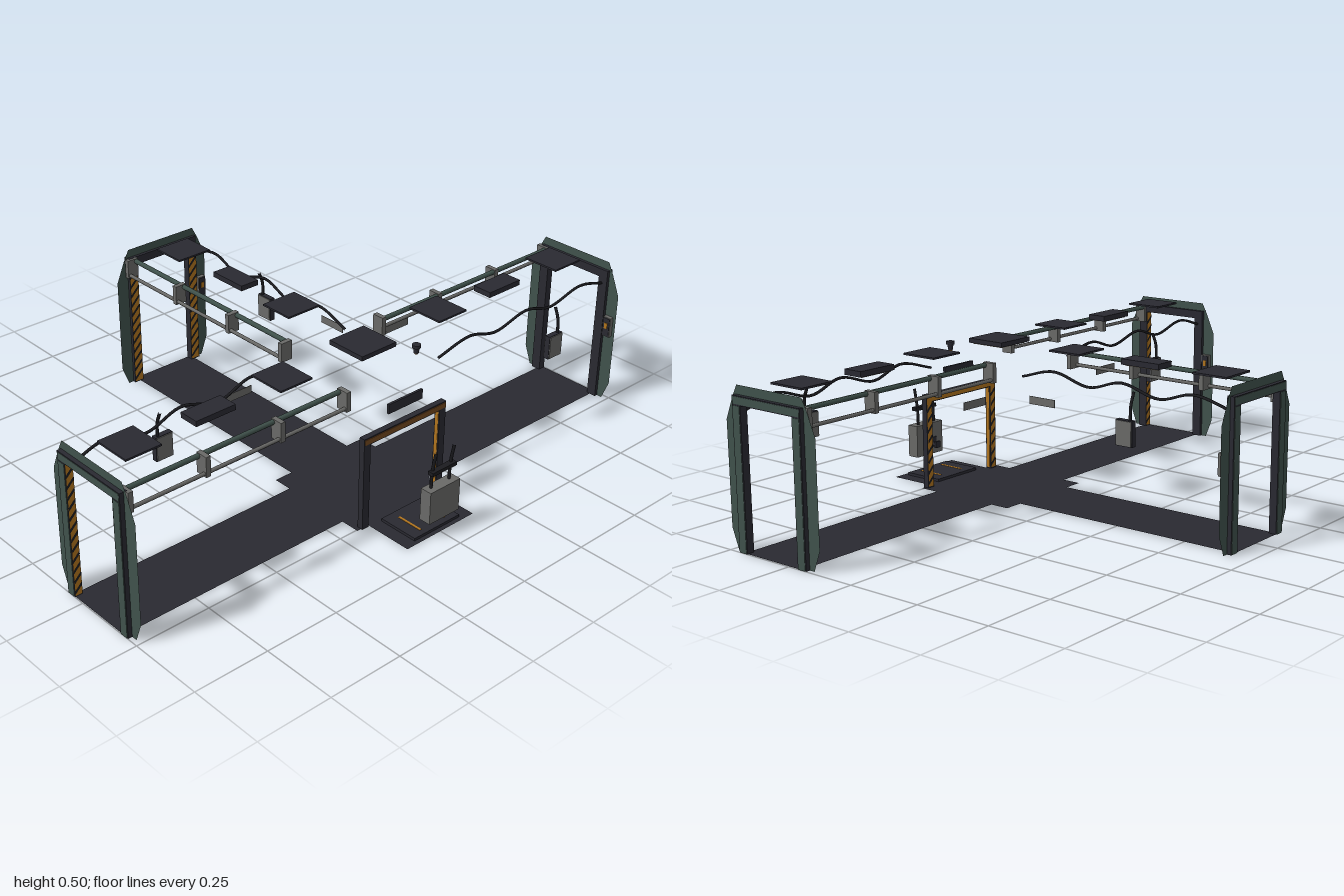
import * as THREE from 'three';

const mat = (name, color, side = THREE.FrontSide) => {
  const m = new THREE.MeshStandardMaterial({ color, side });
  m.name = name;
  return m;
};

export function createModel() {
  const dark = mat('darkMetal', 0x292931);
  const under = mat('undersideBlack', 0x262626);
  const black = mat('blackTrim', 0x1c1c20);
  const green = mat('greenPaint', 0x40524c, THREE.DoubleSide);
  const grey = mat('greyMetal', 0x6a6a68);
  const orange = mat('hazardOrange', 0xb0741e);
  const brown = mat('wornBrown', 0x74491f);
  const beige = mat('lampBeige', 0xcfc0a2);

  const root = new THREE.Group();
  root.name = 'junctionCorridor';

  const add = (parent, name, geo, material, x = 0, y = 0, z = 0) => {
    const m = new THREE.Mesh(geo, material);
    m.name = name;
    m.position.set(x, y, z);
    parent.add(m);
    return m;
  };
  // box given by its min and max corners
  const box = (parent, name, material, x0, x1, y0, y1, z0, z1) =>
    add(parent, name, new THREE.BoxGeometry(x1 - x0, y1 - y0, z1 - z0), material,
      (x0 + x1) / 2, (y0 + y1) / 2, (z0 + z1) / 2);
  const tube = (parent, name, material, pts, r, seg = 40) =>
    add(parent, name, new THREE.TubeGeometry(
      new THREE.CatmullRomCurve3(pts.map(p => new THREE.Vector3(...p))), seg, r, 6), material);
  const poly = pts => new THREE.Shape(pts.map(p => new THREE.Vector2(...p)));

  // sheet floor: one face up, one face down
  function sheet(parent, name, x0, x1, z0, z1) {
    const geo = new THREE.PlaneGeometry(x1 - x0, z1 - z0);
    const x = (x0 + x1) / 2, z = (z0 + z1) / 2;
    add(parent, name, geo, dark, x, 0.001, z).rotation.x = -Math.PI / 2;
    add(parent, name + 'Underside', geo, under, x, 0, z).rotation.x = Math.PI / 2;
  }

  // vertical strip with fine diagonal warning stripes, facing +z
  function hazardStrip(width, height) {
    const g = new THREE.Group();
    g.name = 'hazardStrip';
    add(g, 'hazardBase', new THREE.PlaneGeometry(width, height), orange, 0, height / 2, 0);
    const w = width / 2;
    for (let y = 0.005; y + width + 0.012 < height; y += 0.035) {
      add(g, 'hazardStripe', new THREE.ShapeGeometry(
        poly([[-w, y], [w, y + width], [w, y + width + 0.012], [-w, y + 0.012]])), black, 0, 0, 0.0008);
    }
    return g;
  }

  // chamfered end portal, outer face toward local +x
  function portal(arm, hazard) {
    const g = new THREE.Group();
    g.name = 'endPortal';
    arm.add(g);
    const half = [[0.16, 0], [0.185, 0.065], [0.185, 0.39], [0.155, 0.46], [0.135, 0.498]];
    const s = poly([...half, ...half.map(([x, y]) => [-x, y]).reverse(),
      [-0.107, 0], [-0.107, 0.442], [0.107, 0.442], [0.107, 0]]);
    const plate = add(g, 'portalPlate', new THREE.ShapeGeometry(s), green, 0.985);
    plate.rotation.y = Math.PI / 2;
    for (const k of [-1, 1]) {
      add(g, 'portalPost', new THREE.BoxGeometry(0.025, 0.47, 0.034), dark, 0.9865, 0.235, k * 0.124);
      add(g, 'postCover', new THREE.BoxGeometry(0.002, 0.44, 0.028), green, 0.9995, 0.22, k * 0.124);
      if (hazard === 'face') {
        const strip = hazardStrip(0.032, 0.435);
        strip.position.set(0.973, 0.004, k * 0.124);
        strip.rotation.y = -Math.PI / 2;
        g.add(strip);
      } else if (hazard === 'jamb') {
        const strip = hazardStrip(0.024, 0.435);
        strip.position.set(0.9865, 0.004, k * 0.106);
        strip.rotation.y = k > 0 ? Math.PI : 0;
        g.add(strip);
      }
    }
    box(g, 'portalLintel', dark, 0.974, 0.999, 0.442, 0.47, -0.141, 0.141);
    box(g, 'lintelCover', green, 0.9985, 1, 0.445, 0.467, -0.138, 0.138);
    box(g, 'portalSwitch', grey, 0.97, 0.984, 0.24, 0.31, 0.145, 0.175);
    box(g, 'switchFace', dark, 0.968, 0.97, 0.243, 0.307, 0.147, 0.173);
    box(g, 'switchLamp', orange, 0.966, 0.968, 0.27, 0.29, 0.154, 0.166);
  }

  // one corridor arm along local +x
  function buildArm(name, angle, signZ, boxX, hazard) {
    const arm = new THREE.Group();
    arm.name = name;
    arm.position.z = 0.32;
    arm.rotation.y = angle;
    root.add(arm);
    sheet(arm, 'armFloor', 0.185, 0.998, -0.12, 0.12);
    portal(arm, hazard);

    // ceiling hatches and lamp
    for (const x of [0.32, 0.86])
      box(arm, 'ceilingHatch', dark, x - 0.06, x + 0.06, 0.497, 0.503, -0.064, 0.064);
    box(arm, 'ceilingLamp', dark, 0.52, 0.66, 0.485, 0.503, -0.034, 0.034);
    for (const z of [-0.021, 0, 0.021])
      box(arm, 'lampTube', beige, 0.53, 0.65, 0.482, 0.485, z - 0.007, z + 0.007);

    // wall pipes with brackets
    tube(arm, 'upperPipe', green, [[0.2, 0.46, -0.12], [0.98, 0.46, -0.12]], 0.008, 1);
    tube(arm, 'lowerPipe', grey, [[0.2, 0.415, -0.145], [0.98, 0.415, -0.145]], 0.006, 1);
    for (const x of [0.2, 0.45, 0.715, 0.972])
      box(arm, 'pipeBracket', grey, x - 0.008, x + 0.008, 0.405, 0.469, -0.153, -0.112);

    // slack cable on the opposite wall
    const pts = [];
    for (let i = 0; i <= 6; i++)
      pts.push([0.2 + i * 0.13, i % 2 ? 0.452 : 0.42, 0.12 + (i % 2 ? 0.005 : -0.001)]);
    tube(arm, 'slackCable', black, pts, 0.0045);

    // wall box on a conduit
    const b = boxX, c = boxX + 0.017;
    box(arm, 'wallBox', dark, b - 0.03, b + 0.03, 0.276, 0.356, 0.163, 0.181);
    box(arm, 'wallBoxCover', grey, b - 0.028, b + 0.028, 0.278, 0.354, 0.181, 0.184);
    box(arm, 'wallBoxBack', grey, b - 0.028, b + 0.028, 0.278, 0.354, 0.16, 0.163);
    tube(arm, 'boxConduit', black, [[c, 0.35, 0.172], [c, 0.4, 0.17], [c, 0.44, 0.155]], 0.005, 6);

    box(arm, 'wallSign', grey, 0.28, 0.38, 0.355, 0.38, signZ - 0.001, signZ + 0.001);
  }
  buildArm('leftArm', 0, -0.184, 0.682, 'none');
  buildArm('backArm', Math.PI / 2, 0.183, 0.64, 'face');
  buildArm('rightArm', Math.PI, 0.184, 0.625, 'jamb');

  // junction hub
  sheet(root, 'hubFloor', -0.185, 0.185, 0.135, 0.505);
  box(root, 'hubLamp', dark, -0.07, 0.07, 0.488, 0.503, 0.25, 0.39);
  box(root, 'hubLampDiffuser', beige, -0.06, 0.06, 0.484, 0.488, 0.26, 0.38);
  add(root, 'sensorMount', new THREE.CylinderGeometry(0.014, 0.014, 0.01, 12), dark, 0.115, 0.49, 0.43);
  add(root, 'sensorBody', new THREE.CylinderGeometry(0.01, 0.008, 0.018, 12), dark, 0.115, 0.476, 0.43);
  add(root, 'sensorLens', new THREE.CylinderGeometry(0.007, 0.005, 0.005, 12), orange, 0.115, 0.465, 0.43);

  // front doorway
  const door = new THREE.Group();
  door.name = 'frontDoorway';
  root.add(door);
  for (const k of [-1, 1]) {
    add(door, 'doorPost', new THREE.BoxGeometry(0.026, 0.31, 0.02), dark, k * 0.157, 0.155, 0.5);
    const strip = hazardStrip(0.022, 0.3);
    strip.position.set(k * 0.157, 0.005, 0.489);
    strip.rotation.y = Math.PI;
    door.add(strip);
    add(door, 'doorLining', new THREE.BoxGeometry(0.002, 0.285, 0.012), orange, k * 0.1435, 0.147, 0.5);
  }
  box(door, 'doorLintel', dark, -0.17, 0.17, 0.29, 0.315, 0.49, 0.51);
  box(door, 'lintelStripeFront', brown, -0.168, 0.168, 0.294, 0.311, 0.51, 0.512);
  box(door, 'lintelStripeBack', orange, -0.165, 0.165, 0.293, 0.312, 0.488, 0.49);
  box(door, 'lintelLining', orange, -0.14, 0.14, 0.288, 0.29, 0.494, 0.506);
  box(door, 'doorSign', dark, -0.07, 0.07, 0.36, 0.392, 0.498, 0.506);

  // entry platform
  sheet(root, 'platform', -0.14, 0.14, 0.505, 0.67);
  box(root, 'platformPad', dark, -0.095, 0.095, 0.001, 0.01, 0.515, 0.655);
  for (const x of [-0.05, 0.05])
    box(root, 'guideLine', orange, x - 0.004, x + 0.004, 0.01, 0.011, 0.545, 0.635);

  // standing unit with carrying handle
  const unit = new THREE.Group();
  unit.name = 'controlUnit';
  root.add(unit);
  box(unit, 'unitBody', grey, -0.062, 0.062, 0.057, 0.166, 0.64, 0.68);
  box(unit, 'unitBackPanel', dark, -0.03, 0.03, 0.08, 0.115, 0.637, 0.64);
  const knob = add(unit, 'unitKnob', new THREE.CylinderGeometry(0.008, 0.008, 0.03, 10), dark, 0, 0.097, 0.622);
  knob.rotation.x = Math.PI / 2;
  box(unit, 'knobCap', dark, -0.011, 0.011, 0.086, 0.108, 0.602, 0.61);
  for (const x of [-0.038, 0.038])
    tube(unit, 'handlePole', black, [[x, 0.16, 0.657], [x, 0.22, 0.659], [x, 0.29, 0.671]], 0.005, 8);
  box(unit, 'handleBar', black, -0.05, 0.05, 0.215, 0.227, 0.654, 0.674);

  return root;
}
